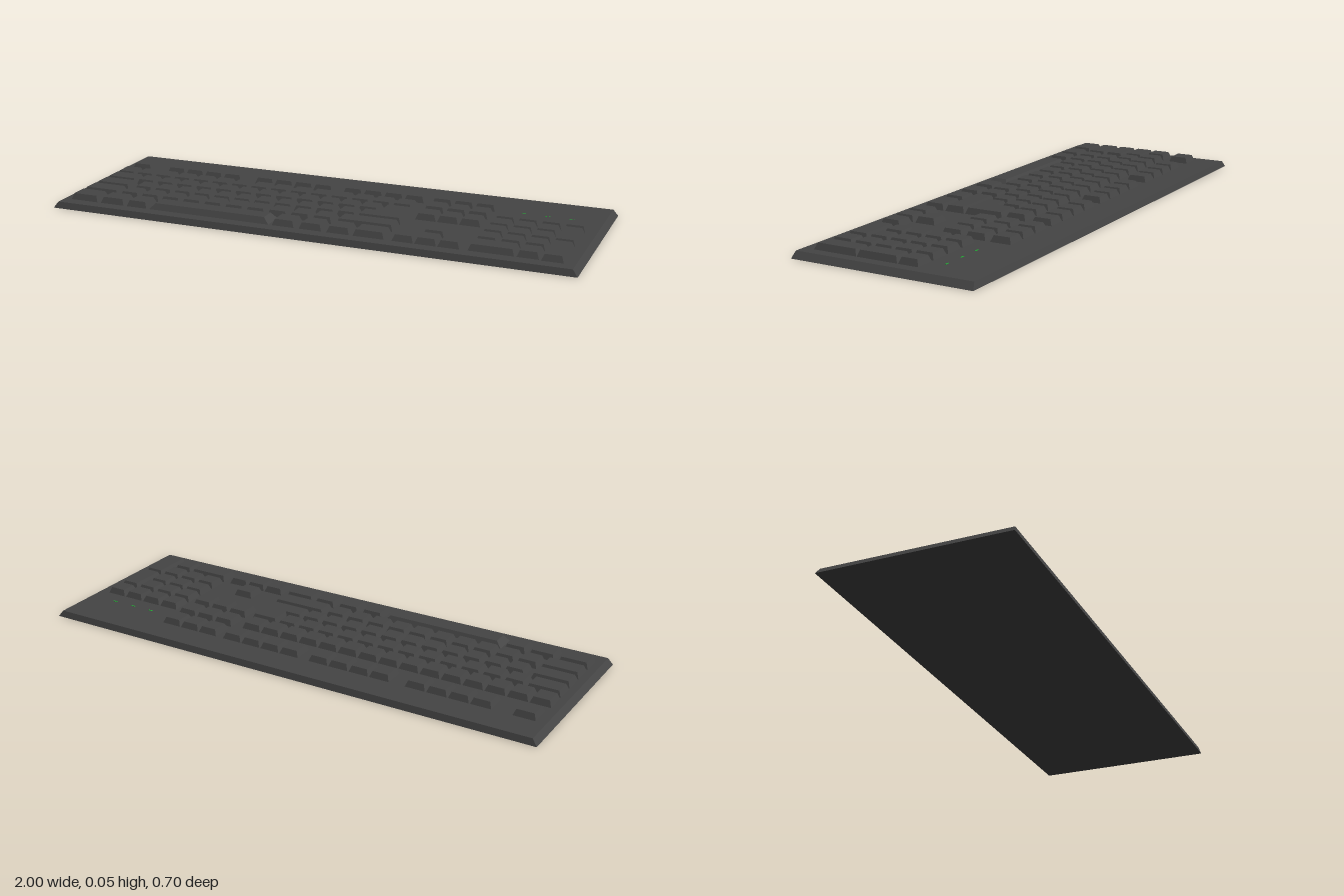
import * as THREE from 'three';

const DECK = 0.024, KEY_TOP = 0.0465, TAPER = 0.009;
const dark = new THREE.MeshStandardMaterial({ color: 0x444444, flatShading: true });
const green = new THREE.MeshStandardMaterial({ color: 0x22aa33, flatShading: true });

// Tapered prism on a right-angled outline of [x, z] corners, listed
// counter-clockwise as seen from above; the top is inset by insetX, insetZ.
function taperedPrism(outline, y0, y1, insetX, insetZ) {
  const pts = outline.map(([x, z]) => new THREE.Vector2(x, -z));
  const n = pts.length;
  const tops = pts.map((p, i) => {
    const a = p.clone().sub(pts[(i + n - 1) % n]).normalize();
    const b = pts[(i + 1) % n].clone().sub(p).normalize();
    return new THREE.Vector2(p.x - (a.y + b.y) * insetX, p.y + (a.x + b.x) * insetZ);
  });
  const geo = new THREE.ExtrudeGeometry(new THREE.Shape(pts), { depth: y1 - y0, bevelEnabled: false });
  const pos = geo.attributes.position;
  for (let i = 0; i < pos.count; i++) {
    if (pos.getZ(i) < (y1 - y0) / 2) continue;
    const k = pts.findIndex(p => Math.hypot(p.x - pos.getX(i), p.y - pos.getY(i)) < 1e-5);
    if (k >= 0) pos.setXY(i, tops[k].x, tops[k].y);
  }
  geo.rotateX(-Math.PI / 2);
  geo.translate(0, y0, 0);
  geo.computeVertexNormals();
  return geo;
}

const rect = (x0, x1, z0, z1) => [[x0, z1], [x1, z1], [x1, z0], [x0, z0]];

function addMesh(group, name, geo, material = dark) {
  const mesh = new THREE.Mesh(geo, material);
  mesh.name = name;
  group.add(mesh);
}

function addKey(group, name, x0, x1, z0, z1, insetX = TAPER, insetZ = TAPER) {
  addMesh(group, name, taperedPrism(rect(x0, x1, z0, z1), DECK, KEY_TOP, insetX, insetZ));
}

// A run of equal keys
function addRun(group, name, count, x0, pitch, width, z0, z1) {
  for (let i = 0; i < count; i++) {
    addKey(group, name, x0 + i * pitch, x0 + i * pitch + width, z0, z1);
  }
}

function section(parent, name) {
  const group = new THREE.Group();
  group.name = name;
  parent.add(group);
  return group;
}

export function createModel() {
  const model = new THREE.Group();
  model.name = 'keyboard';

  // Case with sloping sides
  addMesh(model, 'case', taperedPrism(rect(-1, 1, -0.35, 0.35), 0, DECK, 0.018, 0.007));

  // Back row: escape and three banks of four
  const back = section(model, 'backRow');
  addKey(back, 'escapeKey', -0.945, -0.862, -0.232, -0.152);
  for (const x of [-0.785, -0.395, -0.022]) addRun(back, 'backRowKey', 4, x, 0.083, 0.078, -0.232, -0.152);

  // Main block
  const main = section(model, 'mainKeys');
  addRun(main, 'numberKey', 15, -0.953, 0.0835, 0.078, -0.12, -0.04);
  addKey(main, 'tabKey', -0.953, -0.825, -0.037, 0.041);
  addRun(main, 'upperLetterKey', 12, -0.818, 0.0845, 0.078, -0.037, 0.041);
  addKey(main, 'capsKey', -0.953, -0.807, 0.045, 0.122);
  addRun(main, 'middleLetterKey', 11, -0.782, 0.084, 0.076, 0.045, 0.122);
  addKey(main, 'leftShiftKey', -0.953, -0.807, 0.127, 0.207);
  addRun(main, 'lowerLetterKey', 10, -0.795, 0.088, 0.078, 0.127, 0.207);
  addKey(main, 'rightShiftKey', 0.092, 0.308, 0.127, 0.207);

  // L-shaped enter key
  const enter = [[0.14, 0.122], [0.308, 0.122], [0.308, -0.033], [0.2, -0.033], [0.2, 0.045], [0.14, 0.045]];
  addMesh(main, 'enterKey', taperedPrism(enter, DECK, KEY_TOP, TAPER, TAPER));

  // Bottom row around the space bar
  const modifiers = [[-0.953, -0.84], [-0.825, -0.727], [-0.713, -0.63],
    [-0.118, -0.033], [-0.013, 0.073], [0.093, 0.178], [0.192, 0.308]];
  for (const [a, b] of modifiers) addKey(main, 'modifierKey', a, b, 0.215, 0.297);
  addKey(main, 'spaceBar', -0.618, -0.132, 0.215, 0.297, 0.022, 0.012);

  // Navigation and arrow keys
  const nav = section(model, 'navigationKeys');
  for (const z of [-0.232, -0.133, -0.038]) addRun(nav, 'navigationKey', 3, 0.337, 0.083, 0.078, z, z + 0.08);
  addKey(nav, 'arrowKey', 0.42, 0.498, 0.127, 0.207);
  addRun(nav, 'arrowKey', 3, 0.337, 0.083, 0.078, 0.217, 0.297);

  // Number pad
  const pad = section(model, 'numberPad');
  const px = 0.61, pitch = 0.085, w = 0.077;
  addRun(pad, 'padKey', 4, px, pitch, w, -0.111, -0.034);
  for (const z of [-0.03, 0.049, 0.13]) addRun(pad, 'padKey', 3, px, pitch, w, z, z + 0.077);
  addKey(pad, 'padZeroKey', px, px + pitch + w, 0.213, 0.295);
  addKey(pad, 'padPointKey', px + 2 * pitch, px + 2 * pitch + w, 0.213, 0.295);
  addKey(pad, 'padPlusKey', px + 3 * pitch, px + 3 * pitch + w, -0.03, 0.128);
  addKey(pad, 'padEnterKey', px + 3 * pitch, px + 3 * pitch + w, 0.13, 0.3);

  // Status lights
  for (const x of [0.69, 0.777, 0.865]) {
    const light = new THREE.BoxGeometry(0.018, 0.002, 0.005).translate(x, DECK, -0.168);
    addMesh(model, 'statusLight', light, green);
  }
  return model;
}
